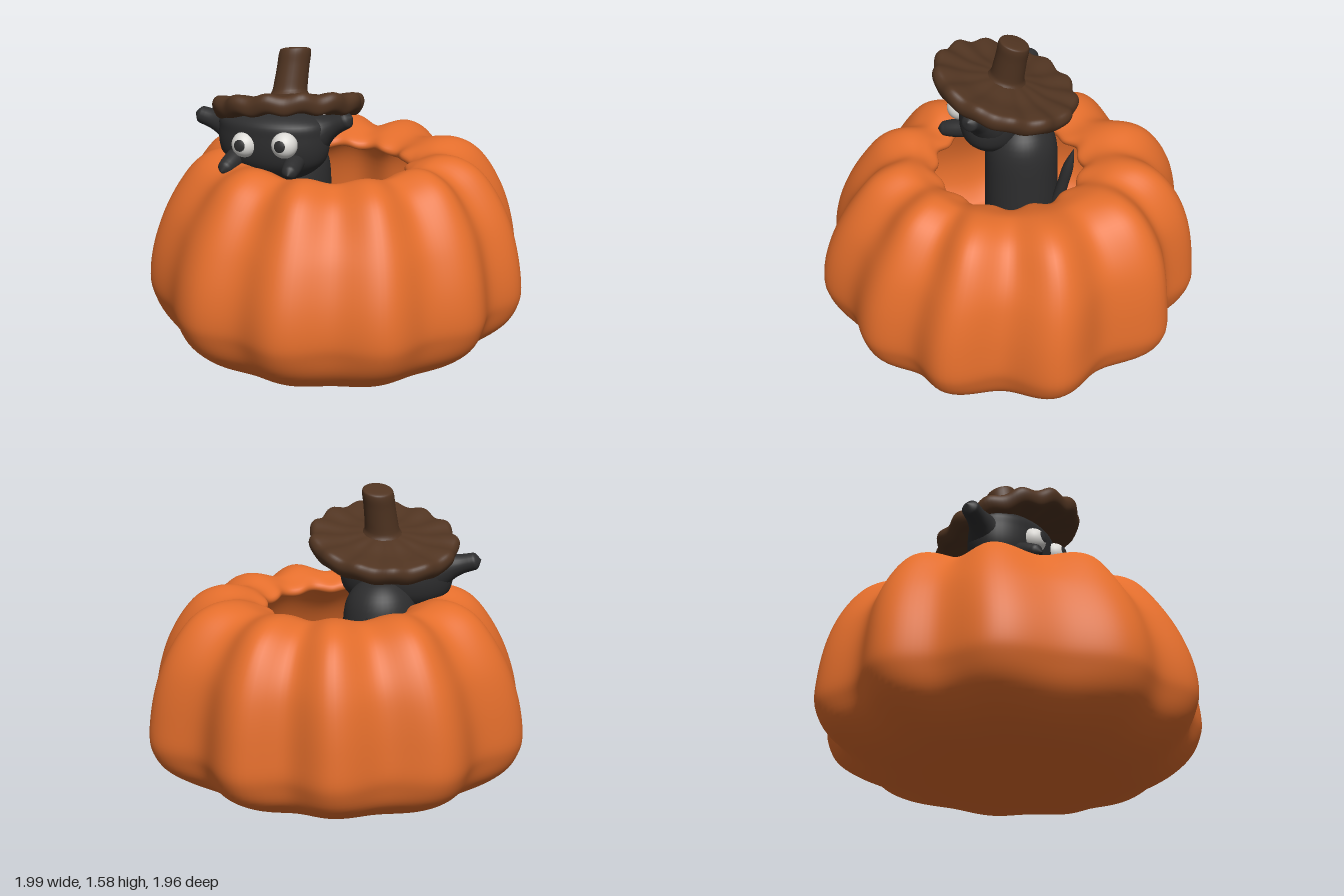
import * as THREE from 'three';

const mat = (name, color) => {
  const m = new THREE.MeshStandardMaterial({ color });
  m.name = name;
  return m;
};

// Surface swept around y: profile [radius, y] from bottom centre, each point bent by a rule
function loft(profile, rings, sides, rule) {
  const curve = new THREE.SplineCurve(profile.map(p => new THREE.Vector2(...p)));
  const pos = [], idx = [];
  for (let j = 0; j <= rings; j++) {
    const p = curve.getPoint(j / rings);
    for (let i = 0; i < sides; i++) {
      const a = (i / sides) * Math.PI * 2;
      pos.push(...rule(Math.max(p.x, 0), p.y, a));
      if (j === rings) continue;
      const n = (i + 1) % sides, b = j * sides, c = b + sides;
      idx.push(b + i, c + i, b + n, b + n, c + i, c + n);
    }
  }
  const g = new THREE.BufferGeometry();
  g.setAttribute('position', new THREE.Float32BufferAttribute(pos, 3));
  g.setIndex(idx);
  g.computeVertexNormals();
  return g;
}

// Lobes: [angle in degrees from +x towards +z, peak radius]
const LOBES = [[-6, 1.0], [21, 0.97], [52, 0.985], [84, 0.98], [114, 0.97], [155, 0.97],
  [187, 1.0], [223, 1.01], [256, 1.0], [284, 1.01], [321, 1.03], [354, 1.0]];
const VALLEY = 0.91;

function lobeAt(angle) {
  let d = THREE.MathUtils.radToDeg(angle);
  if (d >= 354) d -= 360;
  let k = 0;
  while (k < LOBES.length - 2 && d >= LOBES[k + 1][0]) k++;
  const t = (d - LOBES[k][0]) / (LOBES[k + 1][0] - LOBES[k][0]);
  return { l: 0.5 + 0.5 * Math.cos(t * Math.PI * 2), peak: LOBES[t < 0.5 ? k : k + 1][1] };
}

// Hollow pumpkin shell: outside, over the rim, then down the inside
function pumpkinGeometry() {
  const profile = [[0, 0], [0.45, 0.002], [0.68, 0.022], [0.82, 0.075], [0.93, 0.17], [0.985, 0.28],
    [1, 0.38], [0.975, 0.55], [0.92, 0.72], [0.84, 0.87], [0.75, 0.98], [0.65, 1.035], [0.55, 1.045],
    [0.46, 1.02], [0.38, 0.975], [0.39, 0.935], [0.48, 0.945], [0.6, 0.93], [0.75, 0.83], [0.85, 0.65],
    [0.9, 0.4], [0.84, 0.2], [0.65, 0.1], [0, 0.09]];
  const step = THREE.MathUtils.smoothstep;
  return loft(profile, 115, 198, (r, y, a) => {
    const { l, peak } = lobeAt(a);
    const away = step(r, 0.37, 0.66);
    const depth = 0.45 + 0.55 * step(y, 0, 0.3);
    const grooved = 0.95 + (VALLEY + (peak - VALLEY) * l - 0.95) * depth;
    const top = step(y, 0.7, 1.0);
    const wave = top * (1 - step(r, 0.38, 0.45)) * 0.012 * Math.cos(13 * a);
    const R = r * (1 + (grooved - 1) * away) + wave;
    const z = R * Math.sin(a);
    const drop = top * (1 - l) * (0.015 + 0.025 * away);
    const lift = (1 - step(y, 0, 0.25)) * Math.max(0, 0.5 - z) * 0.033;
    const lean = 0.015 + away * (0.025 + 0.008 * Math.max(0, -Math.sin(a)));
    return [R * Math.cos(a), y - drop + lift, z - lean * step(y, 0.4, 0.95)];
  });
}

export function createModel() {
  const orange = mat('pumpkinOrange', 0xe46e2c);
  const brown = mat('lidBrown', 0x503421);
  const black = mat('creatureCharcoal', 0x2d2d2e);
  const white = mat('eyeWhite', 0xdcdad6);

  const model = new THREE.Group();
  model.name = 'pumpkinWithCreature';
  const add = (parent, name, geometry, material, x = 0, y = 0, z = 0) => {
    const m = new THREE.Mesh(geometry, material);
    m.name = name;
    m.position.set(x, y, z);
    parent.add(m);
    return m;
  };

  add(model, 'pumpkin', pumpkinGeometry(), orange);

  // Creature
  const creature = new THREE.Group();
  creature.name = 'creature';
  model.add(creature);

  const plain = (r, y, a) => [r * Math.cos(a), y, r * Math.sin(a)];
  add(creature, 'body', loft([[0, 0.09], [0.15, 0.11], [0.19, 0.4], [0.195, 0.75], [0.18, 0.98],
    [0.1, 1.09], [0, 1.11]], 32, 40, plain), black, -0.22, 0, 0.01);
  // Head: flat crown, steep sides
  add(creature, 'head', loft([[0, 0.9], [0.16, 0.93], [0.26, 1.0], [0.295, 1.07], [0.298, 1.16],
    [0.28, 1.23], [0.16, 1.275], [0, 1.285]], 40, 48,
  (r, y, a) => [r * Math.cos(a), y, r * 0.64 * Math.sin(a)]), black, -0.267, 0, 0.155);

  // Round tapering limb between two points; radii run evenly from base to tip
  const limb = (name, from, to, radii) => {
    const a = new THREE.Vector3(...from), dir = new THREE.Vector3(...to).sub(a);
    const len = dir.length(), n = radii.length - 1;
    const profile = radii.map((r, i) => [r, (len * i) / n]);
    profile.unshift([0, 0]);
    const m = add(creature, name, loft(profile, 40, 24, plain), black, ...from);
    m.quaternion.setFromUnitVectors(new THREE.Vector3(0, 1, 0), dir.normalize());
  };
  const earRadii = [0.12, 0.122, 0.12, 0.11, 0.095, 0.08, 0.066, 0.057, 0.051, 0.048, 0.046, 0.04, 0];
  limb('rightEar', [-0.42, 1.13, 0.14], [-0.712, 1.205, 0.16], earRadii);
  limb('leftEar', [-0.11, 1.13, 0.14], [0.16, 1.27, 0.14], earRadii);
  const pawRadii = [0.05, 0.05, 0.049, 0.048, 0.046, 0.042, 0.034, 0];
  limb('rightPaw', [-0.41, 1.05, 0.25], [-0.437, 0.99, 0.425], pawRadii);
  limb('leftPaw', [-0.1, 1.05, 0.25], [-0.07, 1.015, 0.425], pawRadii);
  limb('tail', [-0.2, 0.3, -0.13], [-0.225, 0.99, -0.285], [0.05, 0.04, 0.035, 0.032, 0.03, 0.027, 0]);

  // Eyes with a thin pupil cap facing forward
  for (const [side, x, y] of [['right', -0.35, 1.12], ['left', -0.13, 1.14]]) {
    add(creature, side + 'Eye', new THREE.SphereGeometry(0.066, 32, 24), white, x, y, 0.325);
    add(creature, side + 'Pupil', new THREE.SphereGeometry(0.068, 24, 6, 0, Math.PI * 2, 0, 0.46),
      black, x, y, 0.325).rotation.x = Math.PI / 2 - 0.14;
  }

  // Tilted scalloped lid worn as a hat
  const lid = new THREE.Group();
  lid.name = 'lid';
  lid.position.set(-0.212, 1.285, 0.1);
  lid.rotation.set(-0.25, 0, 0.13);
  model.add(lid);
  add(lid, 'lidBrim', loft([[0, -0.035], [0.2, -0.042], [0.32, -0.055], [0.365, -0.047], [0.385, 0],
    [0.368, 0.038], [0.32, 0.043], [0.22, 0.037], [0.12, 0.05], [0, 0.06]], 48, 130, (r, y, a) => {
    const k = (r / 0.385) ** 2, w = Math.cos(13 * a);
    const R = r * (1 + 0.02 * k * w);
    return [R * Math.cos(a), y + 0.01 * k * w, R * Math.sin(a)];
  }), brown);
  add(lid, 'lidStem', loft([[0, 0.02], [0.105, 0.03], [0.09, 0.07], [0.085, 0.13], [0.082, 0.2],
    [0.081, 0.262], [0.066, 0.283], [0, 0.288]], 36, 28,
  (r, y, a) => [r * Math.cos(a) + 0.2 * y, y, r * Math.sin(a) + 0.04 * y]), brown);

  return model;
}
